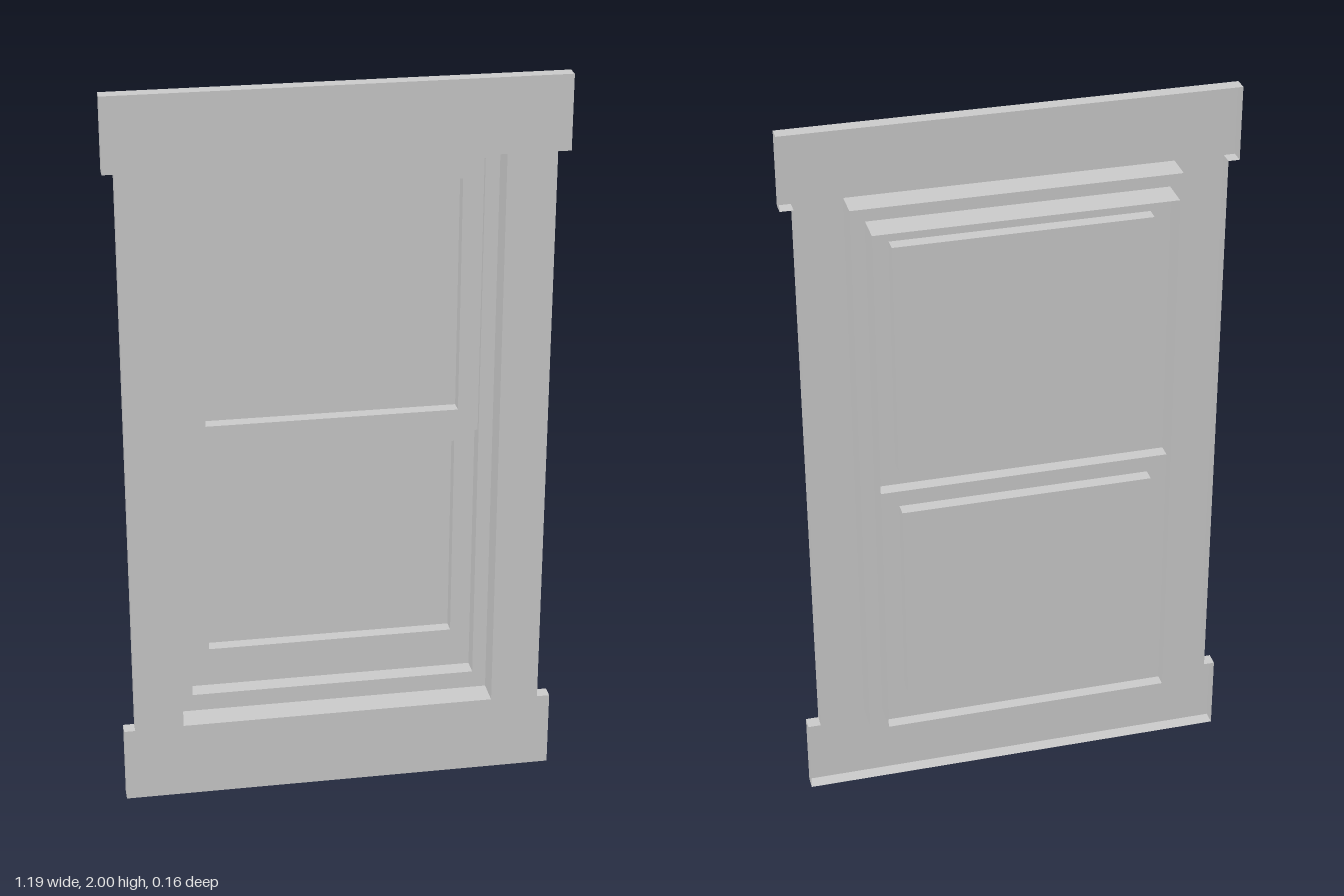
import * as THREE from 'three';

const material = new THREE.MeshStandardMaterial({ color: 0xcccccc, side: THREE.DoubleSide, flatShading: true });

// Depths, front to back
const FRONT = 0.081, CASING_BACK = 0.043, LEDGE = 0.004, BOX_BACK = -0.078;

// Counter-clockwise corners of a rectangle
const rect = (x0, x1, y0, y1) => [[x0, y0], [x1, y0], [x1, y1], [x0, y1]];

function add(group, name, geometry) {
  const mesh = new THREE.Mesh(geometry, material);
  mesh.name = name;
  group.add(mesh);
}

// Flat sheet at depth z, facing the front, with an optional hole
function sheet(outline, z, hole) {
  const toVectors = (pts) => pts.map(([x, y]) => new THREE.Vector2(x, y));
  const shape = new THREE.Shape(toVectors(outline));
  if (hole) shape.holes.push(new THREE.Path(toVectors(hole)));
  return new THREE.ShapeGeometry(shape).translate(0, 0, z);
}

// Wall that follows a closed outline from depth zFront to zBack
function wall(outline, zFront, zBack) {
  const positions = [];
  outline.forEach(([ax, ay], i) => {
    const [bx, by] = outline[(i + 1) % outline.length];
    positions.push(ax, ay, zFront, ax, ay, zBack, bx, by, zBack);
    positions.push(ax, ay, zFront, bx, by, zBack, bx, by, zFront);
  });
  const geometry = new THREE.BufferGeometry();
  geometry.setAttribute('position', new THREE.Float32BufferAttribute(positions, 3));
  geometry.computeVertexNormals();
  return geometry;
}

// Sash: a flat frame with a pane set back behind it
function makeSash(name, frame, pane, zFrame, zPane) {
  const sash = new THREE.Group();
  sash.name = name;
  add(sash, 'sashFrame', sheet(frame, zFrame, pane));
  add(sash, 'paneEdge', wall(pane, zFrame, zPane));
  add(sash, 'pane', sheet(pane, zPane));
  return sash;
}

export function createModel() {
  const model = new THREE.Group();
  model.name = 'window';

  // Casing with wider head and foot boards, open at the back
  const casing = [
    [-0.595, 0], [0.592, 0], [0.592, 0.213], [0.557, 0.213], [0.557, 1.8], [0.592, 1.8],
    [0.592, 2], [-0.595, 2], [-0.595, 1.8], [-0.565, 1.8], [-0.565, 0.213], [-0.595, 0.213],
  ];
  const jamb = rect(-0.433, 0.426, 0.216, 1.8);
  const box = rect(-0.398, 0.388, 0.265, 1.767);
  add(model, 'casingFace', sheet(casing, FRONT, jamb));
  add(model, 'casingEdge', wall(casing, FRONT, CASING_BACK));

  // Stepped recess
  add(model, 'jamb', wall(jamb, FRONT, LEDGE));
  add(model, 'jambLedge', sheet(jamb, LEDGE, box));
  add(model, 'sashBox', wall(box, LEDGE, BOX_BACK));

  // Two sashes, the lower one set further back
  const zUpper = -0.008, zLower = -0.045, split = 1.002;
  model.add(makeSash('upperSash', rect(-0.398, 0.388, split, 1.767),
    rect(-0.344, 0.333, 1.065, 1.711), zUpper, -0.044));
  model.add(makeSash('lowerSash', rect(-0.398, 0.388, 0.265, split),
    rect(-0.344, 0.333, 0.377, 0.957), zLower, -0.081));

  // Step where the sashes meet
  const step = new THREE.PlaneGeometry(0.786, zUpper - zLower).rotateX(-Math.PI / 2);
  add(model, 'meetingStep', step.translate(-0.005, split, (zUpper + zLower) / 2));

  return model;
}
